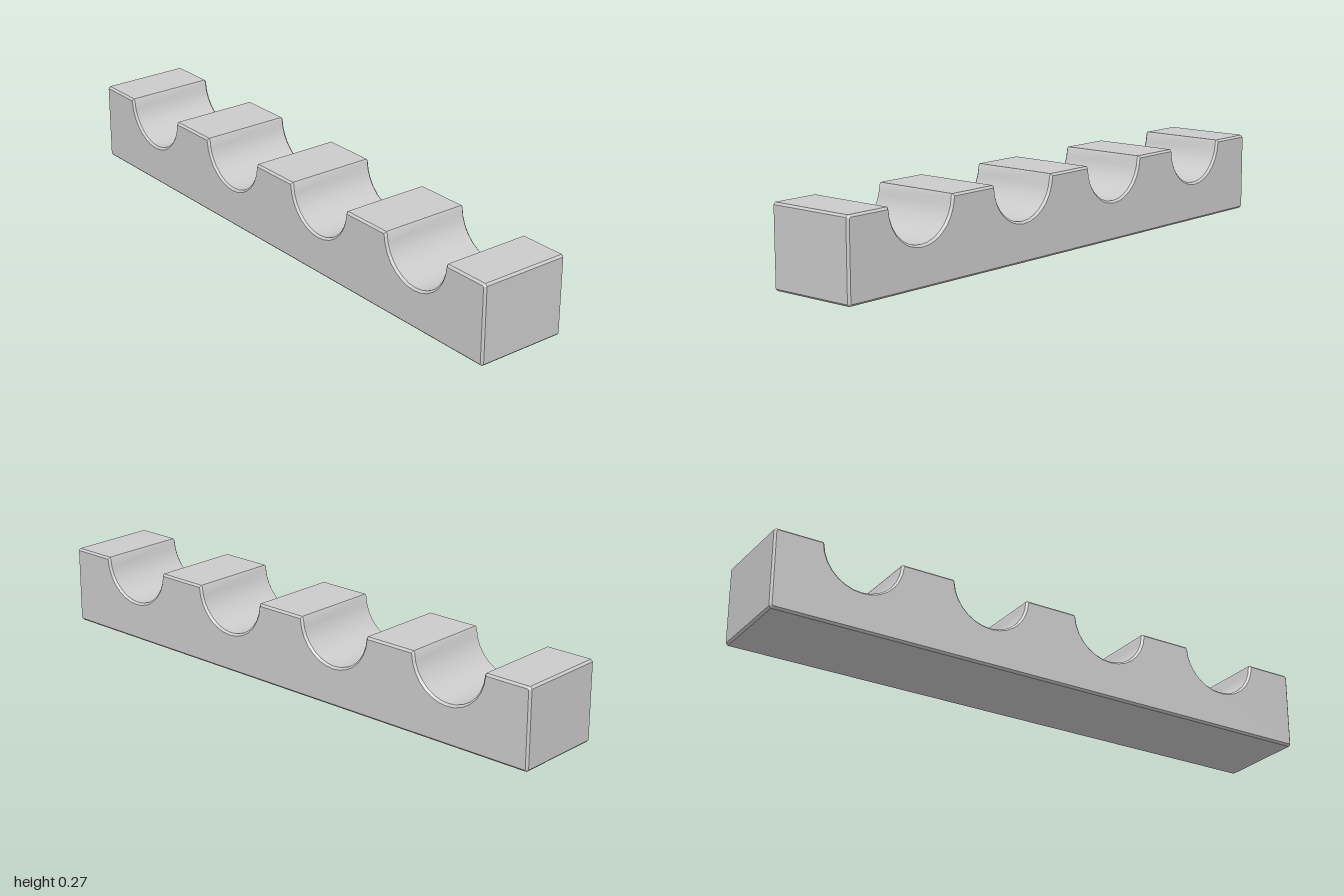
import * as THREE from 'three';
import { toCreasedNormals } from 'three/addons/utils/BufferGeometryUtils.js';

const HEIGHT = 0.27, DEPTH = 0.32, CHAMFER = 0.007;
const GROOVE_RADIUS = 0.135, GROOVE_STEPS = 14;
const GROOVE_CENTRES = [0.695, 0.232, -0.232, -0.695];

// Bar outline, counter-clockwise, with chamfered corners and groove lips
function barProfile() {
  const c = CHAMFER, r = GROOVE_RADIUS;
  const points = [[-1 + c, 0], [1 - c, 0], [1, c], [1, HEIGHT - c], [1 - c, HEIGHT]];
  const lip = Math.asin(c / r);
  for (const x of GROOVE_CENTRES) {
    points.push([x + r + 0.004, HEIGHT]);
    for (let i = 0; i <= GROOVE_STEPS; i++) {
      const a = lip + (Math.PI - 2 * lip) * i / GROOVE_STEPS;
      points.push([x + r * Math.cos(a), HEIGHT - r * Math.sin(a)]);
    }
    points.push([x - r - 0.004, HEIGHT]);
  }
  points.push([-1 + c, HEIGHT], [-1, HEIGHT - c], [-1, c]);
  return new THREE.Shape(points.map(([x, y]) => new THREE.Vector2(x, y)));
}

export function createModel() {
  const group = new THREE.Group();
  group.name = 'groovedHolder';

  // Grooved bar, extruded with a chamfer on the front and back edges
  const geometry = new THREE.ExtrudeGeometry(barProfile(), {
    depth: DEPTH - 2 * CHAMFER,
    bevelEnabled: true,
    bevelThickness: CHAMFER,
    bevelSize: CHAMFER,
    bevelOffset: -CHAMFER,
    bevelSegments: 1,
  });
  geometry.translate(0, 0, -DEPTH / 2 + CHAMFER);

  const bar = new THREE.Mesh(
    toCreasedNormals(geometry, 0.5),
    new THREE.MeshStandardMaterial({ color: 0xcccccc })
  );
  bar.name = 'groovedBar';
  group.add(bar);
  return group;
}
